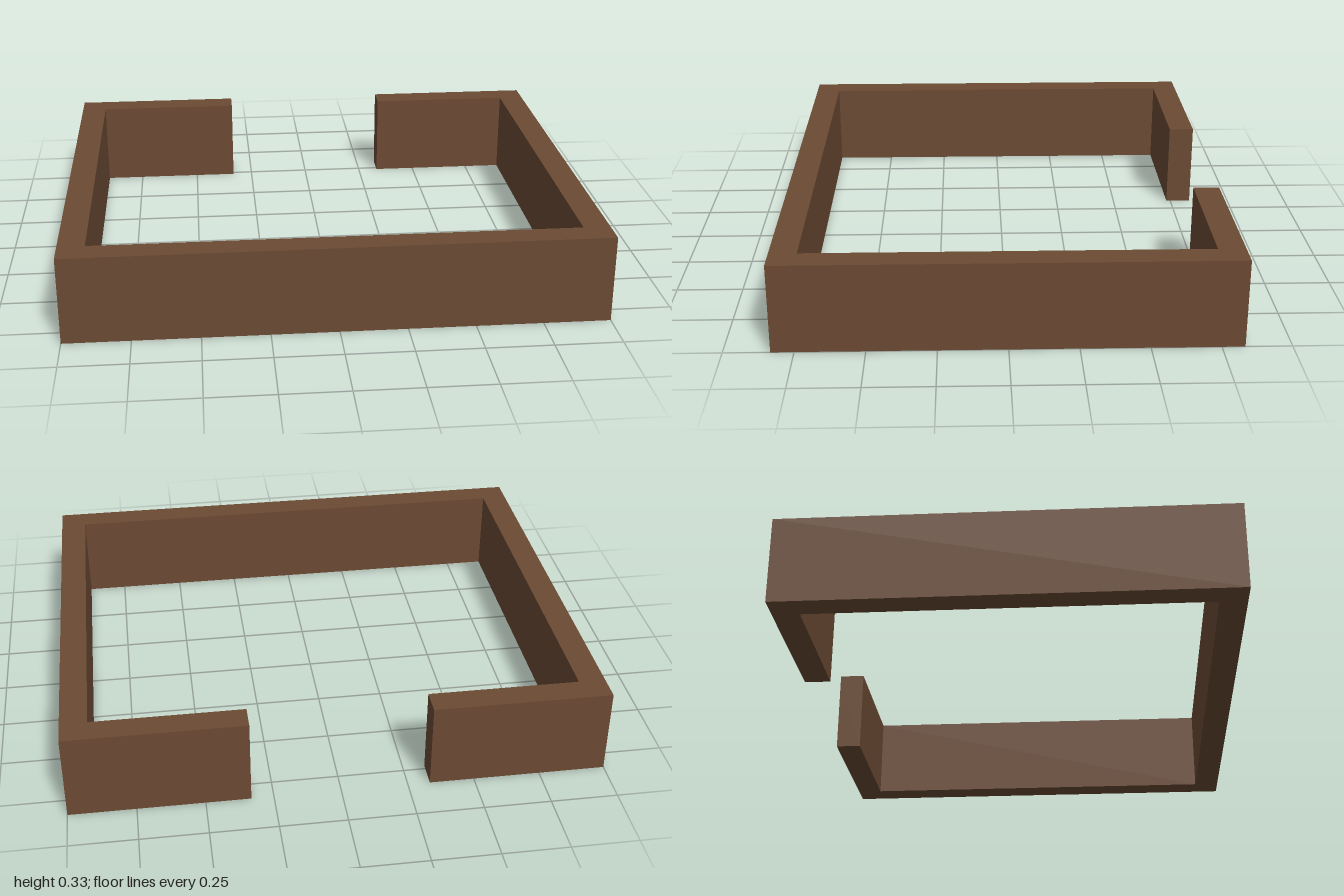
import * as THREE from 'three';

const HEIGHT = 0.333;
const HALF_X = 1, HALF_Z = 0.833; // outer half extents
const WALL = 0.1;                 // wall thickness
const GAP = 0.333;                // half width of the rear opening

export function createModel() {
  const group = new THREE.Group();
  group.name = 'openEnclosure';

  const brown = new THREE.MeshStandardMaterial({ color: 0x6b4a33 });
  brown.name = 'brown';

  // Footprint in plan (x, z): half of the outline, mirrored for the other side
  const half = [
    [GAP, -HALF_Z], [HALF_X, -HALF_Z], [HALF_X, HALF_Z],
  ];
  const innerHalf = [
    [HALF_X - WALL, HALF_Z - WALL], [HALF_X - WALL, -HALF_Z + WALL], [GAP, -HALF_Z + WALL],
  ];
  const mirror = (pts) => pts.map(([x, z]) => [-x, z]).reverse();
  const outline = [...half, ...mirror(half), ...mirror(innerHalf), ...innerHalf];
  const footprint = new THREE.Shape(outline.map(([x, z]) => new THREE.Vector2(x, z)));

  // One continuous wall, raised from the footprint and laid onto the ground
  const geometry = new THREE.ExtrudeGeometry(footprint, { depth: HEIGHT, bevelEnabled: false });
  geometry.rotateX(Math.PI / 2);
  geometry.translate(0, HEIGHT, 0);

  const wall = new THREE.Mesh(geometry, brown);
  wall.name = 'wall';
  group.add(wall);
  return group;
}
